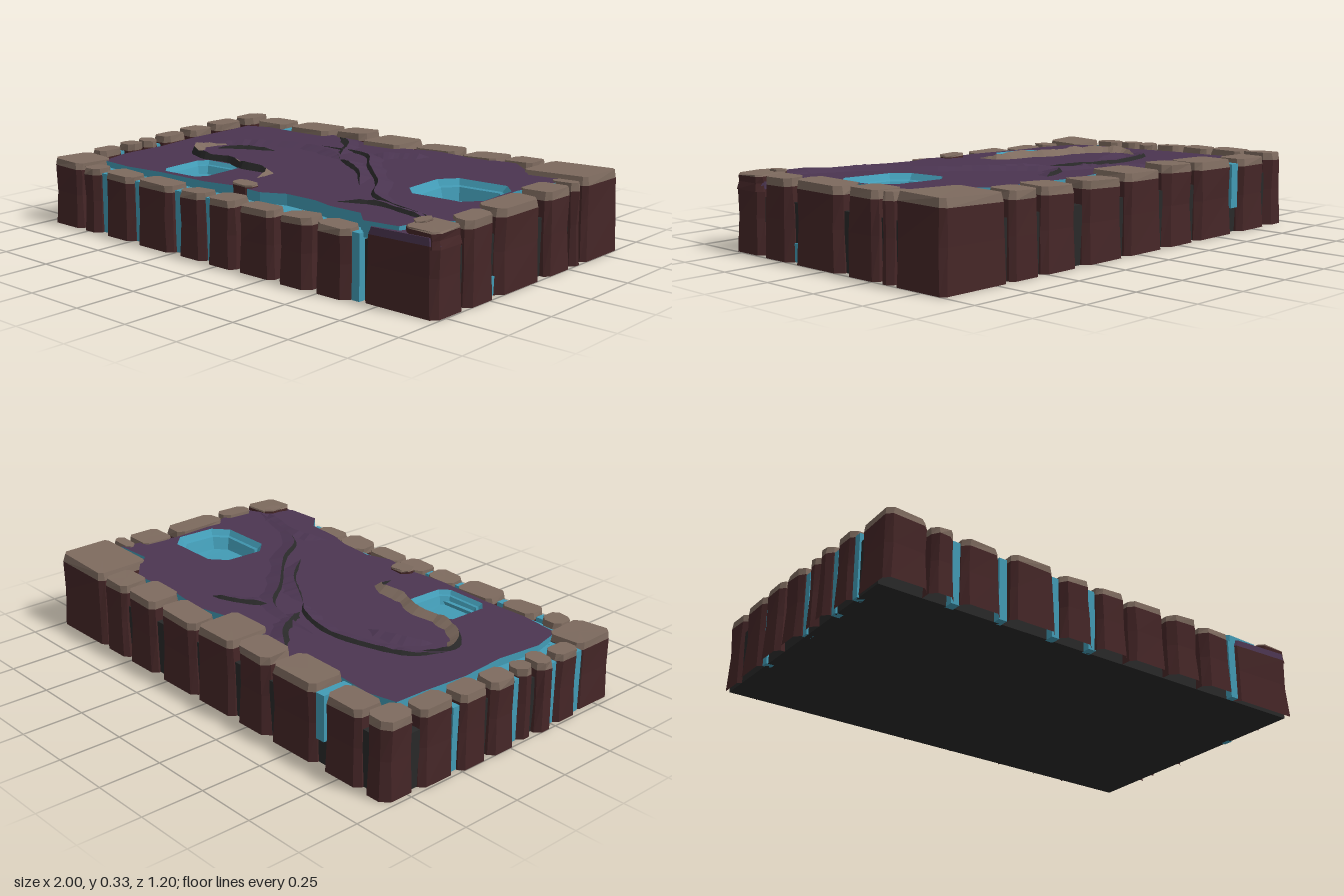
import * as THREE from 'three';

const flat = (name, color, extra = {}) => {
  const m = new THREE.MeshStandardMaterial({ color, ...extra });
  m.name = name;
  return m;
};

// Small seeded random, -1..1
let seed = 7;
const rnd = () => {
  seed = (seed * 16807) % 2147483647;
  return (seed / 2147483647) * 2 - 1;
};

// Gently sloping ground level
const ground = (x, z) => 0.285 + 0.02 * x - 0.02 * z;

// Flat-faced mesh from triangle soup, one list of points per material
function facets(name, parts) {
  const geo = new THREE.BufferGeometry();
  const pos = [];
  parts.forEach(({ tris }, i) => {
    geo.addGroup(pos.length / 3, tris.length, i);
    tris.forEach((p) => pos.push(...p));
  });
  geo.setAttribute('position', new THREE.Float32BufferAttribute(pos, 3));
  geo.computeVertexNormals();
  const mesh = new THREE.Mesh(geo, parts.map((p) => p.mat));
  mesh.name = name;
  return mesh;
}

// Closed rings joined in bands and capped on top; one material per band, then the cap
function loft(name, rings, mats) {
  const n = rings[0].length;
  const parts = mats.map((mat) => ({ mat, tris: [] }));
  for (let r = 0; r < rings.length - 1; r++)
    for (let i = 0; i < n; i++) {
      const j = (i + 1) % n, lo = rings[r], hi = rings[r + 1];
      parts[r].tris.push(lo[i], hi[i], lo[j], lo[j], hi[i], hi[j]);
    }
  const top = rings[rings.length - 1];
  const mid = [0, 1, 2].map((k) => top.reduce((s, p) => s + p[k], 0) / n);
  top.forEach((p, i) => parts[parts.length - 1].tris.push(mid, top[(i + 1) % n], p));
  return facets(name, parts);
}

// Rectangle with cut corners, as [x, z] points
function cutRect(x0, x1, z0, z1, c) {
  return [[x1, z0 + c], [x1, z1 - c], [x1 - c, z1], [x0 + c, z1],
    [x0, z1 - c], [x0, z0 + c], [x0 + c, z0], [x1 - c, z0]];
}

export function createModel() {
  seed = 7;
  const model = new THREE.Group();
  const tan = flat('tan stone top', 0x7d6a5e);
  const brown = flat('dark brown stone', 0x452627);
  const dark = flat('charcoal crack', 0x292929);
  const purple = flat('purple ground', 0x4b3551);
  const blue = flat('blue water', 0x429bb5);

  const box = (name, mat, x0, x1, y0, y1, z0, z1) => {
    const m = new THREE.Mesh(new THREE.BoxGeometry(x1 - x0, y1 - y0, z1 - z0), mat);
    m.position.set((x0 + x1) / 2, (y0 + y1) / 2, (z0 + z1) / 2);
    m.name = name;
    model.add(m);
  };

  // Rough stone block with worn upper edge
  const stone = (name, [x0, x1, z0, z1, h], cap = tan, y0 = 0) => {
    const cx = (x0 + x1) / 2, cz = (z0 + z1) / 2;
    const c = 0.018 + 0.012 * Math.abs(rnd());
    const base = cutRect(x0, x1, z0, z1, c);
    const slope = rnd() * 0.05, slopeZ = rnd() * 0.04;
    const rings = [[0, 1, 0], [0.5, 0.985, 0.008], [0.9, 0.98, 0.006], [1, 0.93, 0.006]].map(([t, s, j]) =>
      base.map(([x, z]) => {
        const px = cx + (x - cx) * s - Math.sign(x - cx) * Math.abs(rnd()) * j;
        const pz = cz + (z - cz) * s - Math.sign(z - cz) * Math.abs(rnd()) * j;
        return [px, y0 + (h - y0) * t + t * ((x - cx) * slope + (z - cz) * slopeZ), pz];
      }));
    model.add(loft(name, rings, [brown, brown, cap, cap]));
  };

  // Inner core, seen through the cracks and from below
  box('core', dark, -0.965, 0.965, 0, 0.22, -0.575, 0.53);

  // Rim stones: x0, x1, z0, z1, height
  [[-0.98, -0.86, -0.605, -0.45, 0.3], [-0.845, -0.66, -0.605, -0.47, 0.295], [-0.615, -0.375, -0.605, -0.44, 0.305],
    [-0.36, -0.175, -0.605, -0.46, 0.315], [-0.155, 0.06, -0.605, -0.4, 0.308], [0.075, 0.295, -0.605, -0.47, 0.302],
    [0.335, 0.515, -0.605, -0.45, 0.307], [0.53, 0.675, -0.605, -0.47, 0.312], [0.69, 1, -0.605, -0.36, 0.32],
  ].forEach((s) => stone('backStone', s));
  [[-0.99, -0.88, -0.44, -0.275, 0.295], [-1, -0.885, -0.255, -0.12, 0.29], [-1, -0.89, -0.1, 0.03, 0.285],
    [-0.99, -0.895, 0.055, 0.14, 0.28], [-1, -0.89, 0.15, 0.235, 0.28], [-0.99, -0.9, 0.26, 0.385, 0.275],
  ].forEach((s) => stone('rightStone', s));
  [[-0.975, -0.8, 0.4, 0.595, 0.27], [-0.79, -0.69, 0.49, 0.595, 0.262], [-0.66, -0.49, 0.48, 0.59, 0.26],
    [-0.455, -0.255, 0.475, 0.595, 0.262], [-0.225, -0.08, 0.48, 0.59, 0.258], [-0.06, 0.085, 0.475, 0.595, 0.26],
    [0.1, 0.28, 0.49, 0.59, 0.256], [0.3, 0.46, 0.47, 0.595, 0.257], [0.475, 0.635, 0.48, 0.59, 0.255],
  ].forEach((s) => stone('frontStone', s));
  [[0.87, 1, -0.345, -0.285, 0.316], [0.85, 1, -0.27, -0.11, 0.314], [0.87, 1, -0.075, 0.19, 0.31],
    [0.9, 1, 0.21, 0.375, 0.308]].forEach((s) => stone('leftStone', s));
  stone('cornerBlock', [0.675, 0.995, 0.385, 0.555, 0.275], purple);
  stone('cornerCap', [0.84, 0.995, 0.39, 0.55, 0.302], tan, 0.24);

  // Small loose rocks on the ground
  stone('looseRock', [-0.07, 0.04, 0.38, 0.46, 0.29], tan, 0.22);
  stone('looseRock', [0.83, 0.89, 0.4, 0.5, 0.31], tan, 0.24);

  // Water channel along two sides, and trickles between stones
  box('sideChannel', blue, -0.905, -0.78, 0.215, 0.235, -0.44, 0.5);
  box('frontChannel', blue, -0.905, 0.64, 0.215, 0.236, 0.38, 0.505);
  [-0.675, -0.473, -0.24, -0.07, 0.655].forEach((x) => box('frontTrickle', blue, x - 0.017, x + 0.017, 0, 0.245, 0.52, 0.56));
  [-0.265, 0.042, 0.247, 0.392].forEach((z) => box('sideTrickle', blue, -0.973, -0.94, 0, 0.25, z - 0.015, z + 0.015));
  box('backTrickle', blue, -0.658, -0.617, 0.1, 0.28, -0.59, -0.46);
  box('leftTrickle', blue, 0.95, 0.972, 0, 0.07, 0.18, 0.22);

  // Pools: outline, then rings stepping down to the bed
  const pools = [
    { x: 0.68, z: 0, pts: cutRect(-0.17, 0.17, -0.145, 0.145, 0.06), depth: 0.09 },
    { x: -0.375, z: 0.305, pts: cutRect(-0.12, 0.12, -0.12, 0.12, 0.035), depth: 0.06 },
  ];
  pools.forEach(({ x, z, pts, depth }) => {
    const rings = [[1, 0], [0.9, 0.25], [0.83, 0.3], [0.72, 0.85], [0.45, 1]].map(([s, d]) =>
      pts.map(([px, pz]) => [x + px * s, ground(x + px, z + pz) - d * depth, z + pz * s]));
    model.add(loft('pool', rings, Array(5).fill(blue)));
  });
  // Cut the pools into the core top by raising the beds clear of it
  model.children.filter((m) => m.name === 'pool').forEach((m) => {
    const p = m.geometry.attributes.position;
    for (let i = 0; i < p.count; i++) p.setY(i, Math.max(p.getY(i), 0.2225));
    m.geometry.computeVertexNormals();
  });

  // Purple ground with pool holes and blue banks
  const v = (list) => list.map(([x, z]) => new THREE.Vector2(x, z));
  const outline = new THREE.Shape(v([[-0.85, -0.43], [-0.74, -0.46], [-0.6, -0.45], [-0.3, -0.5], [-0.15, -0.44], [0.05, -0.44],
    [0.2, -0.48], [0.4, -0.46], [0.6, -0.48], [0.7, -0.4], [0.75, -0.34], [0.91, -0.35], [0.9, -0.25], [0.86, -0.1],
    [0.88, 0.1], [0.93, 0.22], [0.93, 0.37], [0.85, 0.42], [0.82, 0.53], [0.67, 0.54], [0.6, 0.47], [0.45, 0.46],
    [0.35, 0.43], [0.2, 0.42], [0.1, 0.46], [-0.05, 0.44], [-0.2, 0.46], [-0.45, 0.45], [-0.65, 0.46], [-0.82, 0.44],
    [-0.855, 0.3], [-0.84, 0.1], [-0.86, -0.1], [-0.85, -0.3]]));
  pools.forEach(({ x, z, pts }) => outline.holes.push(new THREE.Path(v(pts.map(([a, b]) => [a + x, b + z])))));
  const floorGeo = new THREE.ExtrudeGeometry(outline, { depth: 0.06, bevelEnabled: false });
  floorGeo.rotateX(Math.PI / 2);
  const fp = floorGeo.attributes.position;
  for (let i = 0; i < fp.count; i++) fp.setY(i, fp.getY(i) + ground(fp.getX(i), fp.getZ(i)));
  floorGeo.computeVertexNormals();
  const floor = new THREE.Mesh(floorGeo, [purple, blue]);
  floor.name = 'ground';
  model.add(floor);

  // Folded ridge: gentle slope on one side, short steep face on the other
  const ridge = (name, path, wide, steep, h, top, face) => {
    const curve = new THREE.CatmullRomCurve3(path.map(([x, z]) => new THREE.Vector3(x, 0, z)));
    const n = path.length * 4;
    const rows = [];
    for (let i = 0; i <= n; i++) {
      const p = curve.getPoint(i / n), t = curve.getTangent(i / n);
      const k = Math.min(1, Math.sin((Math.PI * i) / n) * 1.6 + 0.08) * (1 + 0.2 * rnd());
      const at = (d, y) => {
        const x = p.x - t.z * d * k, z = p.z + t.x * d * k;
        return [x, ground(x, z) + y, z];
      };
      rows.push([at(-wide, -0.002), at(0, h * k), at(steep, -0.002)]);
    }
    const parts = [top, face].map((mat) => ({ mat, tris: [] }));
    for (let i = 0; i < n; i++)
      parts.forEach(({ tris }, s) => {
        const a = rows[i][s], b = rows[i][s + 1], c = rows[i + 1][s], d = rows[i + 1][s + 1];
        tris.push(a, b, c, c, b, d);
      });
    model.add(facets(name, parts));
  };
  [
    [[-0.02, -0.13], [-0.1, -0.19], [-0.29, -0.24], [-0.48, -0.2], [-0.62, -0.13], [-0.68, -0.02]],
    [[-0.26, -0.29], [0.03, -0.24], [0.16, -0.1], [0.38, 0.11], [0.5, 0.27], [0.88, 0.39]],
    [[-0.02, -0.13], [0.1, -0.06], [0.2, 0.01], [0.33, 0.16]],
    [[0.25, -0.37], [0.14, -0.32], [0.03, -0.24]],
    [[0.43, 0.4], [0.57, 0.35], [0.72, 0.38], [0.84, 0.41]],
    [[-0.6, 0.0], [-0.5, -0.06], [-0.36, -0.1]],
  ].forEach((p) => ridge('groundFold', p, 0.06, 0.012, 0.014, purple, dark));
  ridge('groundCrack', [[-0.32, -0.47], [-0.18, -0.37], [-0.12, -0.28], [-0.08, -0.2]], 0.05, 0.025, 0.014, purple, dark);

  // Stony ledge curling round the smaller pool
  ridge('poolLedge', [[-0.62, -0.08], [-0.68, 0.02], [-0.63, 0.11], [-0.5, 0.17], [-0.36, 0.165], [-0.24, 0.21], [-0.1, 0.22], [-0.07, 0.3]]
    .reverse(), 0.012, 0.04, 0.026, dark, tan);

  return model;
}
